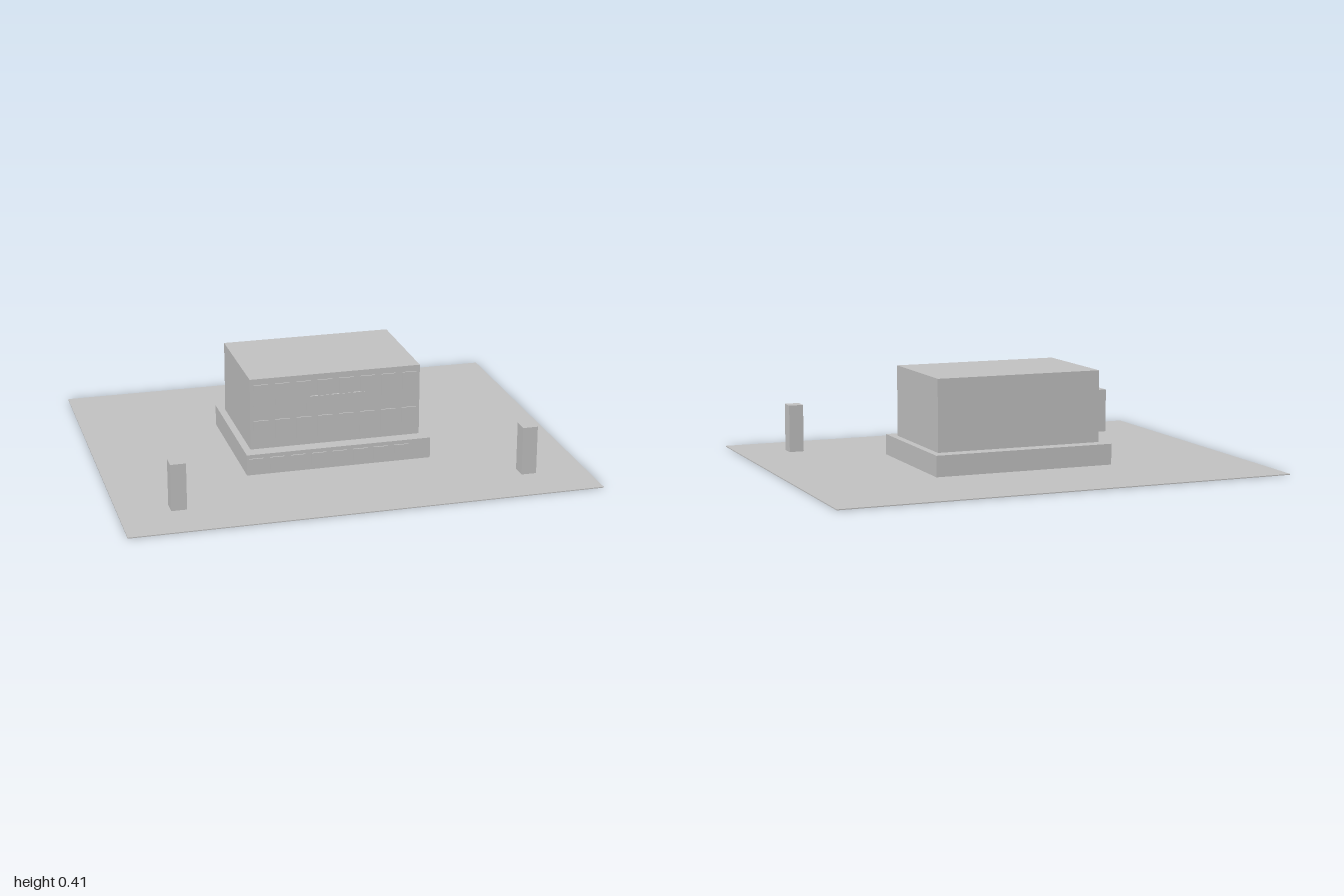
import * as THREE from 'three';

export function createModel() {
  const model = new THREE.Group();
  const stone = new THREE.MeshStandardMaterial({ color: 0xc4c4c4 });
  stone.name = 'stone grey';

  // Box given by its limits on each axis
  function block(name, [x0, x1], [y0, y1], [z0, z1], parent = model) {
    const mesh = new THREE.Mesh(new THREE.BoxGeometry(x1 - x0, y1 - y0, z1 - z0), stone);
    mesh.position.set((x0 + x1) / 2, (y0 + y1) / 2, (z0 + z1) / 2);
    mesh.name = name;
    parent.add(mesh);
    return mesh;
  }

  // Ground and the two-tier building
  block('ground', [-1, 1], [0, 0.004], [-0.81, 0.81]);
  block('groundFloor', [-0.405, 0.402], [0.004, 0.095], [-0.315, 0.31]);
  block('upperFloors', [-0.375, 0.37], [0.095, 0.408], [-0.25, 0.248]);

  // Rows of eight window panels along the front
  function windowRow(name, firstX, step, yRange, wallZ) {
    const row = new THREE.Group();
    row.name = name;
    for (let i = 0; i < 8; i++) {
      const x = firstX + i * step;
      block('window', [x - 0.032, x + 0.032], yRange, [wallZ - 0.002, wallZ + 0.006], row);
    }
    model.add(row);
  }
  windowRow('topWindows', -0.328, 0.093, [0.286, 0.382], 0.248);
  windowRow('middleWindows', -0.328, 0.093, [0.126, 0.222], 0.248);
  windowRow('groundWindows', -0.365, 0.091, [0.024, 0.078], 0.31);

  // Blank sign panel over the windows
  block('signPanel', [-0.13, 0.125], [0.25, 0.313], [0.248, 0.257]);

  // Free-standing gate pillars
  block('rightPillar', [-0.785, -0.72], [0, 0.205], [0.53, 0.597]);
  block('leftPillar', [0.716, 0.781], [0, 0.214], [0.53, 0.597]);

  return model;
}
